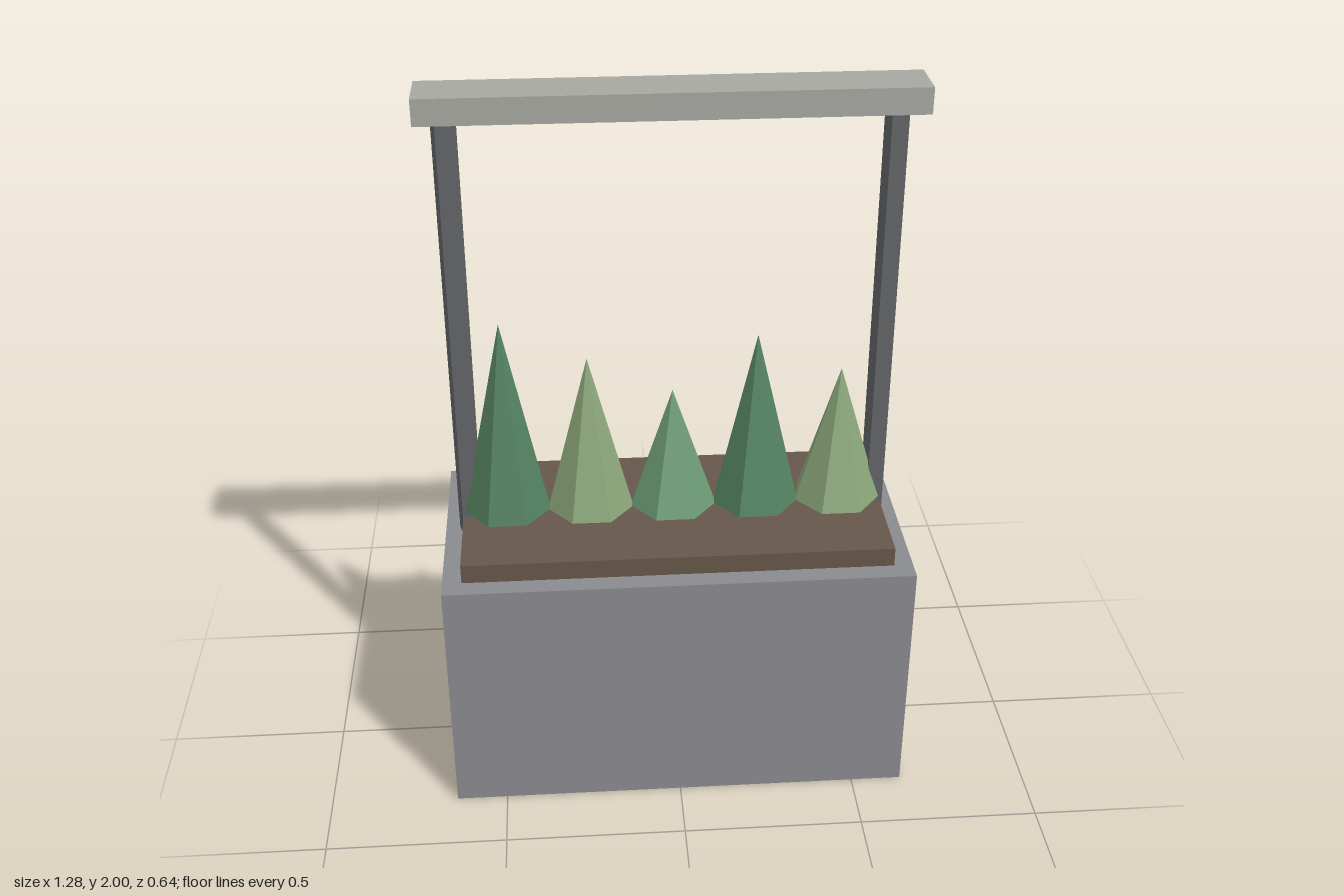
import * as THREE from 'three';

const paint = (color) => new THREE.MeshStandardMaterial({ color, flatShading: true });

function add(parent, name, geometry, material, x, y, z = 0) {
  const mesh = new THREE.Mesh(geometry, material);
  mesh.name = name;
  mesh.position.set(x, y, z);
  parent.add(mesh);
  return mesh;
}

export function createModel() {
  const model = new THREE.Group();
  model.name = 'planter';

  const concrete = paint(0x8a8b8f);
  const soil = paint(0x66574a);
  const metal = paint(0x636568);
  const stone = paint(0xa8a8a2);
  const darkGreen = paint(0x548260);
  const lightGreen = paint(0x8aa67a);
  const midGreen = paint(0x6c9a74);

  // Planter block and the raised soil bed
  add(model, 'planterBox', new THREE.BoxGeometry(1.285, 0.715, 0.643), concrete, 0, 0.3575);
  add(model, 'soilBed', new THREE.BoxGeometry(1.18, 0.055, 0.535), soil, 0, 0.7425);

  // Five-sided posts carrying the top beam
  const postGeometry = new THREE.CylinderGeometry(0.034, 0.034, 1.22, 5).rotateY(Math.PI);
  for (const side of [1, -1]) {
    add(model, side > 0 ? 'leftPost' : 'rightPost', postGeometry, metal, side * 0.571, 1.322);
  }
  add(model, 'topBeam', new THREE.BoxGeometry(1.285, 0.07, 0.141), stone, 0, 1.965);

  // Row of seven-sided conical shrubs: tip height and foliage
  const shrubs = [
    [1.355, darkGreen],
    [1.245, lightGreen],
    [1.14, midGreen],
    [1.3, darkGreen],
    [1.19, lightGreen],
  ];
  const base = 0.79;
  shrubs.forEach(([tip, foliage], i) => {
    const height = tip - base;
    const geometry = new THREE.ConeGeometry(0.123, height, 7).rotateY(Math.PI);
    add(model, `shrub${i + 1}`, geometry, foliage, (i - 2) * 0.232, base + height / 2);
  });

  return model;
}
